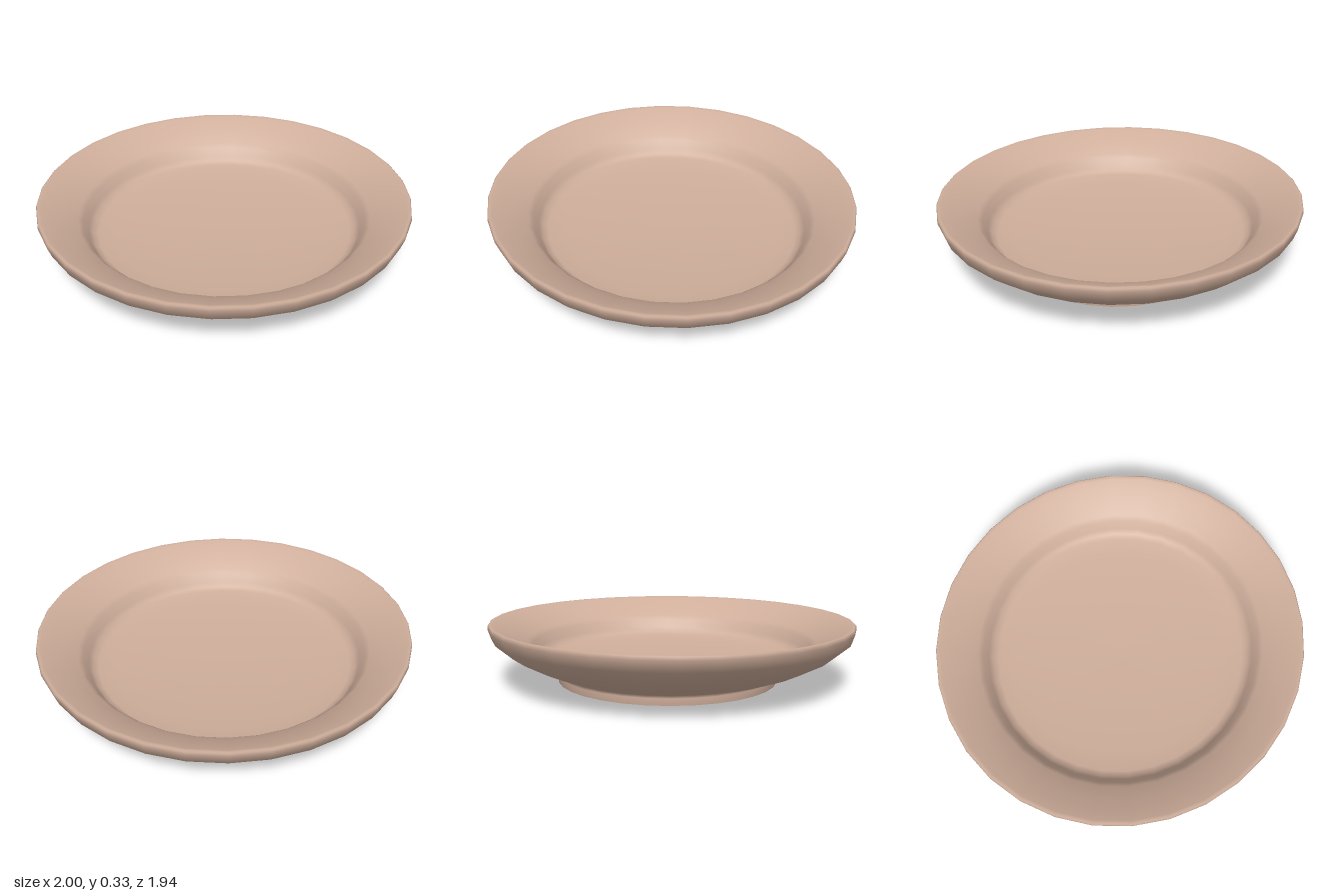
import * as THREE from 'three';

const SIDES = 32;
const OVAL = 0.971; // depth compared with width
const FOOT_SHIFT = 0.03; // the foot sits slightly to one side
const FOOT_TOP = 0.051;

// One closed shell as [radius, height], from the base up around the lip and down into the well
const PROFILE = [
  // base and foot
  [0, 0], [0.605, 0], [0.611, 0], [0.611, 0.036], [0.612, 0.05],
  // curved underside
  [0.66, 0.07], [0.765, 0.11], [0.89, 0.175], [0.98, 0.25],
  // lip
  [1, 0.308], [0.998, 0.326], [0.992, 0.331], [0.975, 0.326],
  // rim, steeper toward the middle
  [0.93, 0.307], [0.86, 0.273], [0.79, 0.231],
  // step down to the well
  [0.765, 0.209], [0.74, 0.165], [0.72, 0.138], [0.69, 0.126],
  // shallow dished well
  [0.6, 0.115], [0.45, 0.103], [0.25, 0.093], [0, 0.089],
];

export function createModel() {
  const clay = new THREE.MeshStandardMaterial({ color: 0xcfae9b });
  clay.name = 'clay';

  const points = PROFILE.map(([r, y]) => new THREE.Vector2(r, y));
  const geometry = new THREE.LatheGeometry(points, SIDES);
  geometry.scale(1, 1, OVAL);

  // Move the foot sideways under the dish
  const position = geometry.attributes.position;
  for (let i = 0; i < position.count; i++) {
    if (position.getY(i) < FOOT_TOP) position.setX(i, position.getX(i) + FOOT_SHIFT);
  }

  const plate = new THREE.Mesh(geometry, clay);
  plate.name = 'plate';

  const model = new THREE.Group();
  model.name = 'model';
  model.add(plate);
  return model;
}
